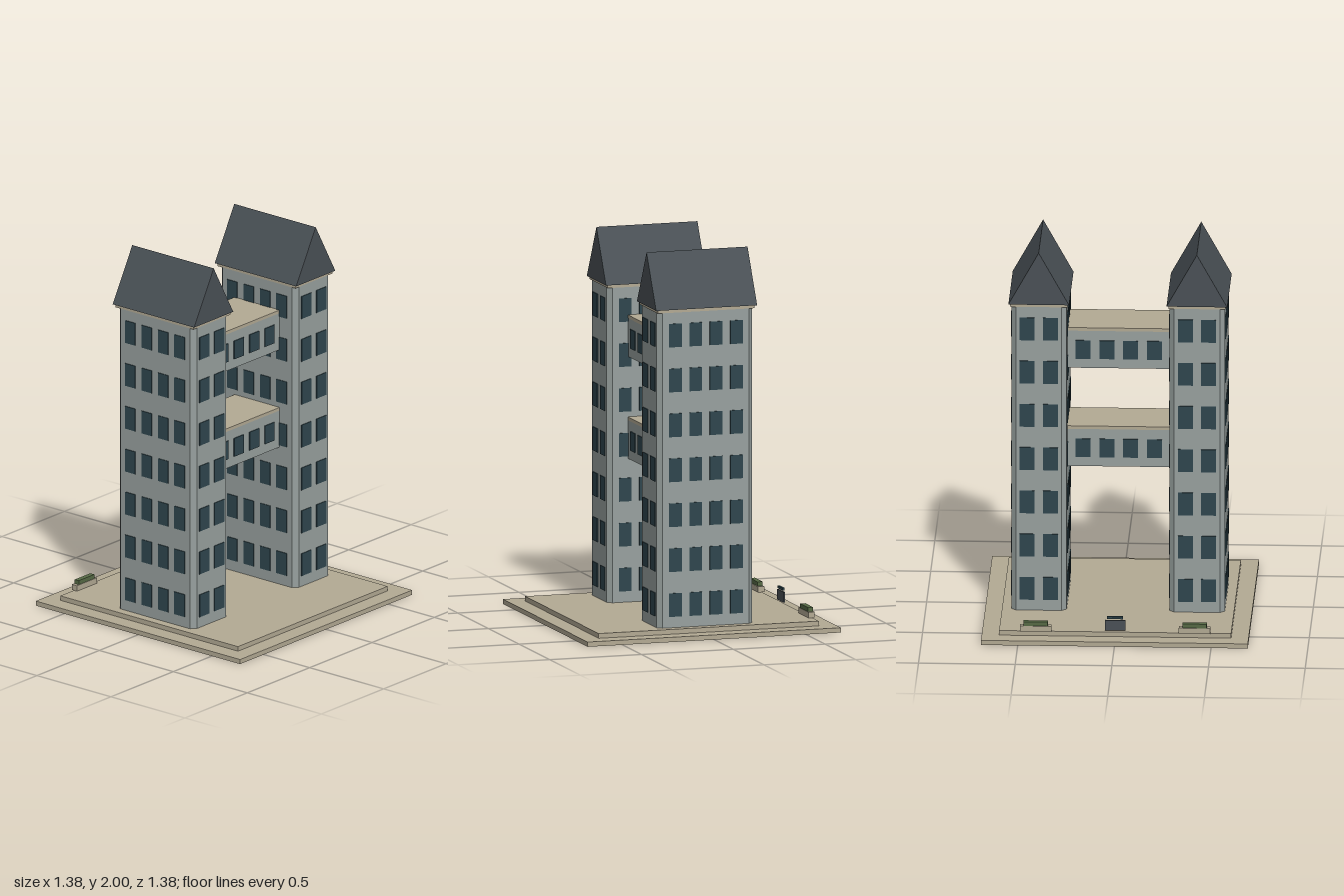
import * as THREE from 'three';

const mat = (color, side = THREE.FrontSide) => new THREE.MeshStandardMaterial({ color, side });

export function createModel() {
  const stone = mat(0x98a19f);
  const tan = mat(0xb3aa94);
  const slate = mat(0x4a5156);
  const glass = mat(0x2f464e);
  const green = mat(0x566a45);

  const model = new THREE.Group();
  model.name = 'twinTowers';

  const add = (parent, name, geometry, material, x = 0, y = 0, z = 0) => {
    const mesh = new THREE.Mesh(geometry, material);
    mesh.name = name;
    mesh.position.set(x, y, z);
    parent.add(mesh);
    return mesh;
  };
  // Box standing on height y
  const box = (parent, name, w, h, d, material, x, y, z) =>
    add(parent, name, new THREE.BoxGeometry(w, h, d), material, x, y + h / 2, z);

  // Stepped plaza
  box(model, 'lowerPlinth', 1.38, 0.025, 1.38, tan, 0, 0, 0);
  box(model, 'upperPlinth', 1.2, 0.025, 1.2, tan, 0, 0.025, 0);

  // Tower shaft with chamfered corners, extruded upward
  const hx = 0.143, hz = 0.26, c = 0.025, base = 0.05, top = 1.702;
  const plan = new THREE.Shape([
    [hx - c, -hz], [hx, -hz + c], [hx, hz - c], [hx - c, hz],
    [-hx + c, hz], [-hx, hz - c], [-hx, -hz + c], [-hx + c, -hz],
  ].map(([x, y]) => new THREE.Vector2(x, y)));
  const shaft = new THREE.ExtrudeGeometry(plan, { depth: top - base, bevelEnabled: false });
  shaft.rotateX(-Math.PI / 2);

  // Gable roof, ridge running front to back
  const rx = 0.157, rz = 0.275, eaves = 1.718;
  const gable = new THREE.Shape([
    new THREE.Vector2(-rx, 0), new THREE.Vector2(rx, 0), new THREE.Vector2(0, 2 - eaves),
  ]);
  const roof = new THREE.ExtrudeGeometry(gable, { depth: 2 * rz, bevelEnabled: false });
  roof.translate(0, 0, -rz);

  const endWindow = new THREE.BoxGeometry(0.077, 0.123, 0.008);
  const sideWindow = new THREE.BoxGeometry(0.008, 0.123, 0.069);

  for (const s of [-1, 1]) {
    const tower = new THREE.Group();
    tower.name = s > 0 ? 'leftTower' : 'rightTower';
    tower.position.x = s * 0.409;
    model.add(tower);

    add(tower, 'towerShaft', shaft, stone, 0, base, 0);
    box(tower, 'cornice', 0.296, eaves - top, 0.526, tan, 0, top, 0);
    add(tower, 'gableRoof', roof, slate, 0, eaves, 0);

    // Seven storeys of windows on all four sides
    for (let row = 0; row < 7; row++) {
      const y = 0.169 + row * 0.2355;
      for (const side of [-1, 1]) {
        for (const x of [-0.06, 0.06]) add(tower, 'endWindow', endWindow, glass, x, y, side * hz);
        for (let i = 0; i < 4; i++) {
          add(tower, 'sideWindow', sideWindow, glass, side * hx, y, (i - 1.5) * 0.111);
        }
      }
    }
  }

  // Two enclosed bridges between the towers
  const bridgeWindow = new THREE.BoxGeometry(0.077, 0.1, 0.01);
  for (const y of [0.802, 1.337]) {
    const bridge = new THREE.Group();
    bridge.name = 'skyBridge';
    bridge.position.y = y;
    model.add(bridge);
    box(bridge, 'bridgeBody', 0.54, 0.202, 0.3, stone, 0, 0, 0);
    box(bridge, 'bridgeRoof', 0.54, 0.017, 0.304, tan, 0, 0.202, 0);
    for (const side of [-1, 1]) {
      for (let i = 0; i < 4; i++) {
        add(bridge, 'bridgeWindow', bridgeWindow, glass, (i - 1.5) * 0.123, 0.1, side * 0.15);
      }
    }
  }

  // Planters along the back edge
  for (const s of [-1, 1]) {
    box(model, 'planterTrough', 0.163, 0.03, 0.034, tan, s * 0.411, 0.05, -0.596);
    box(model, 'planterHedge', 0.126, 0.022, 0.028, green, s * 0.411, 0.08, -0.596);
  }

  // Small plaque with a thin bar above it
  box(model, 'plaque', 0.105, 0.055, 0.008, slate, 0, 0.058, -0.594);
  box(model, 'plaqueBar', 0.083, 0.013, 0.011, glass, 0, 0.12, -0.594);

  return model;
}
